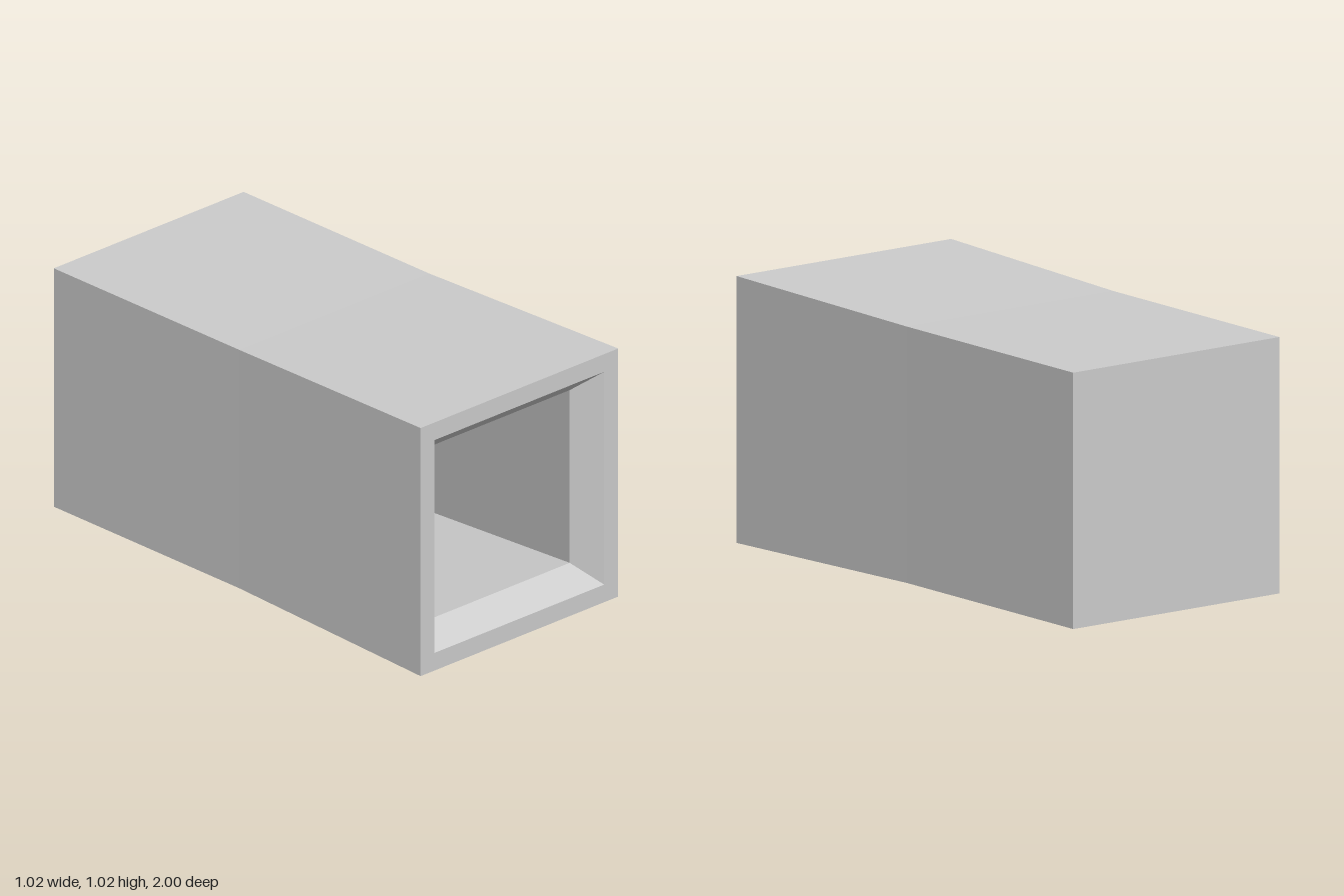
import * as THREE from 'three';

// Square tube surface swept through [halfWidth, z] stations along the z axis.
// Stations run back to front for outward faces, front to back for inward faces.
function squareSweep(name, stations, material) {
  const points = stations.map(([half, z]) => new THREE.Vector2(half * Math.SQRT2, z));
  const geometry = new THREE.LatheGeometry(points, 4, Math.PI / 4).rotateX(Math.PI / 2).toNonIndexed();
  geometry.computeVertexNormals();
  const mesh = new THREE.Mesh(geometry, material);
  mesh.name = name;
  mesh.position.y = 0.51;
  return mesh;
}

export function createModel() {
  const material = new THREE.MeshStandardMaterial({ color: 0xcccccc, flatShading: true });
  const model = new THREE.Group();
  model.name = 'hollowBox';

  const parts = {
    // closed back, straight rear half, slightly flared front half
    outerShell: [[0, -1], [0.49, -1], [0.49, 0], [0.51, 1]],
    // flat front rim and its bevelled opening
    frontFrame: [[0.51, 1], [0.4375, 1], [0.355, 0.9]],
    // front chamber widens towards the middle
    frontChamber: [[0.355, 0.9], [0.482, 0]],
    // second rim and bevel, halfway along
    innerFrame: [[0.482, 0], [0.418, 0], [0.34, -0.1]],
    // rear chamber narrows to a flat end wall
    rearChamber: [[0.34, -0.1], [0.264, -0.9], [0, -0.9]],
  };
  for (const [name, stations] of Object.entries(parts)) {
    model.add(squareSweep(name, stations, material));
  }
  return model;
}
